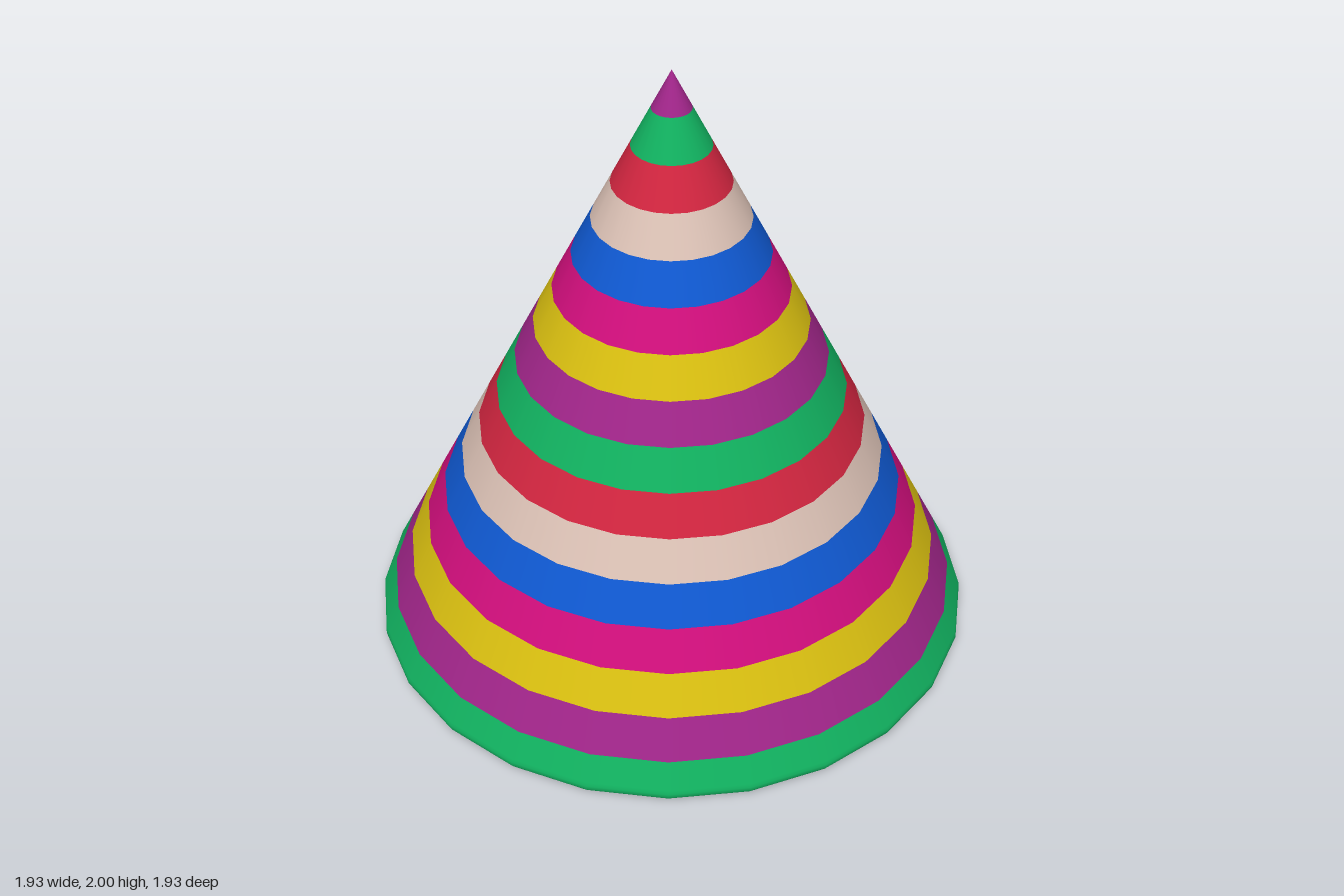
import * as THREE from 'three';

export function createModel() {
  const group = new THREE.Group();
  group.name = 'stripedCone';

  const material = (name, color) => {
    const m = new THREE.MeshStandardMaterial({ color });
    m.name = name;
    return m;
  };
  const green = material('green', 0x11b05f);
  const purple = material('purple', 0x9f2588);
  const yellow = material('yellow', 0xd8be10);
  const magenta = material('magenta', 0xcf0e7b);
  const blue = material('blue', 0x0f58d0);
  const beige = material('beige', 0xdac0b4);
  const red = material('red', 0xd0253f);

  const SIDES = 24;
  const BAND = 0.125;
  const radiusAt = (y) => 0.494 * (2 - y);

  // Surface of revolution; profile runs from the base centre outwards and up
  const ring = (name, mat, profile) => {
    const points = profile.map(([r, y]) => new THREE.Vector2(r, y));
    const mesh = new THREE.Mesh(new THREE.LatheGeometry(points, SIDES, Math.PI / SIDES), mat);
    mesh.name = name;
    group.add(mesh);
  };

  // Concentric rings of the flat base
  const baseColours = [blue, beige, red, green, purple, yellow, magenta];
  const step = 0.125;
  baseColours.forEach((mat, i) => {
    ring(`baseRing${i + 1}`, mat, [[i * step, 0], [(i + 1) * step, 0]]);
  });
  ring('baseRim', blue, [[7 * step, 0], [0.95, 0], [0.957, 0.001], [0.966, 0.01]]);

  // Lowest stripe, rounded where it meets the base
  ring('stripe1', green, [
    [0.966, 0.01], [0.972, 0.02], [radiusAt(0.032), 0.032],
    [radiusAt(0.042), 0.042], [radiusAt(BAND), BAND],
  ]);

  // Remaining stripes up to the tip
  const stripeColours = [green, purple, yellow, magenta, blue, beige, red];
  for (let i = 1; i < 16; i++) {
    const y0 = i * BAND;
    const y1 = y0 + BAND;
    // The tip continues the colour sequence
    ring(i === 15 ? 'tip' : `stripe${i + 1}`, stripeColours[i % 7], [
      [radiusAt(y0), y0], [radiusAt(y1), y1],
    ]);
  }
  return group;
}
